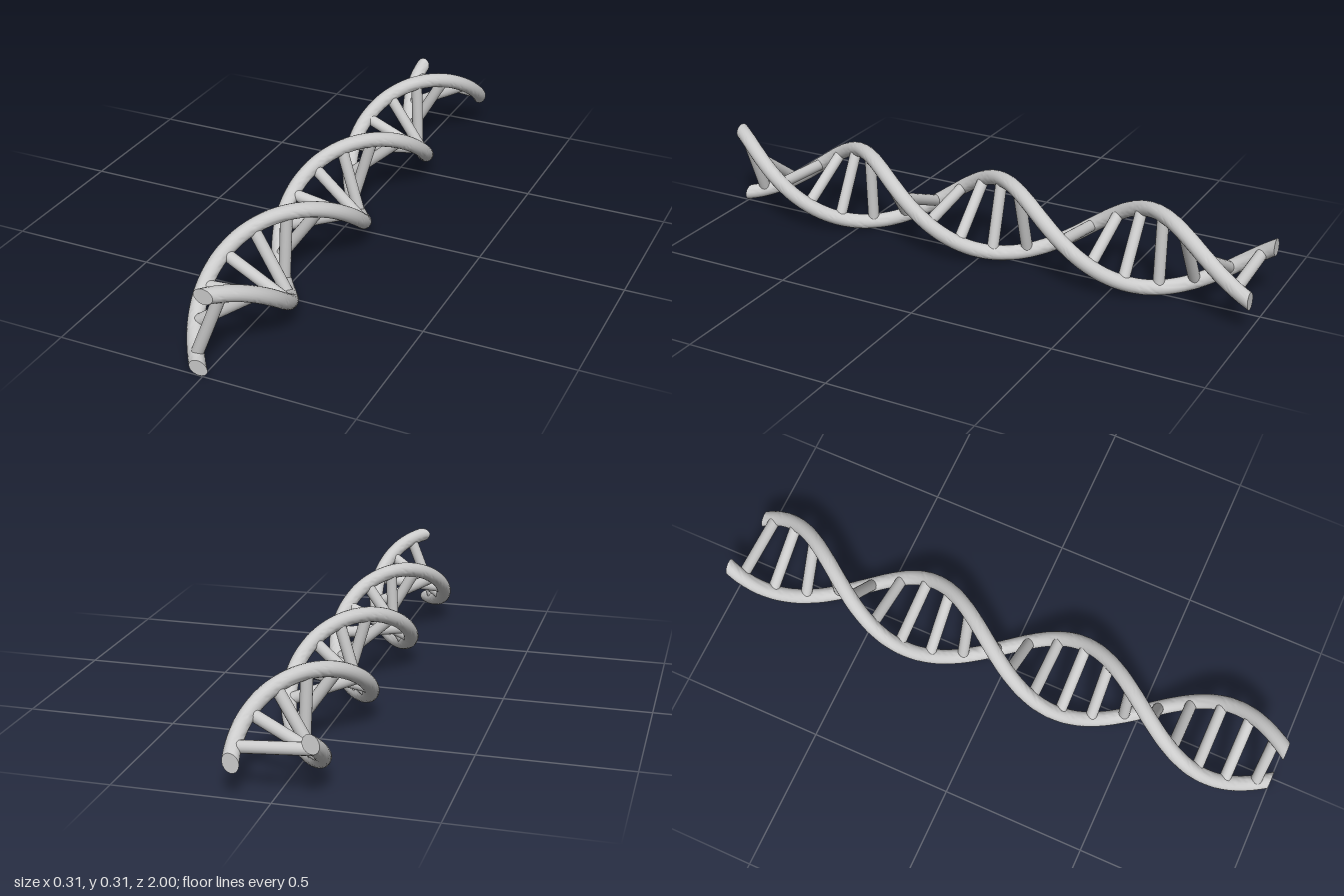
import * as THREE from 'three';
import { mergeVertices, toCreasedNormals } from 'three/addons/utils/BufferGeometryUtils.js';

const RADIUS = 0.128;      // axis to strand centre
const TUBE = 0.026;        // strand thickness
const CENTER_Y = 0.154;
const HALF_TURN = 0.56;    // length of half a twist
const RUNGS = 20;

// Twist angle around z, counted from +x towards +y
const angleAt = (z) => Math.PI / 2 - Math.PI * (1.02 - z) / HALF_TURN;

// A capped cylinder along z, wound into a helix with ends cut square to the axis
function strandGeometry(phase) {
  let geo = new THREE.CylinderGeometry(1, 1, 2, 20, 180).rotateX(Math.PI / 2);
  const slant = Math.hypot(1, RADIUS * Math.PI / HALF_TURN);
  const pos = geo.attributes.position;
  for (let i = 0; i < pos.count; i++) {
    const z = pos.getZ(i);
    const r = RADIUS + TUBE * pos.getX(i);
    const a = angleAt(z) + phase + TUBE * slant * pos.getY(i) / RADIUS;
    pos.setXYZ(i, r * Math.cos(a), r * Math.sin(a), z);
  }
  geo.deleteAttribute('normal');
  geo.deleteAttribute('uv');
  geo = mergeVertices(geo, 1e-5);
  return toCreasedNormals(geo, 0.7);
}

export function createModel() {
  const model = new THREE.Group();
  model.name = 'doubleHelix';
  const material = new THREE.MeshStandardMaterial({ color: 0xcccccc });

  const helix = new THREE.Group();
  helix.position.y = CENTER_Y;
  model.add(helix);

  // Two strands, half a turn apart
  ['firstStrand', 'secondStrand'].forEach((name, i) => {
    const strand = new THREE.Mesh(strandGeometry(i * Math.PI), material);
    strand.name = name;
    helix.add(strand);
  });

  // Rungs joining the strands, turning with them
  const rungGeo = new THREE.CylinderGeometry(0.02, 0.02, RADIUS * 2 - 0.01, 16);
  for (let i = 0; i < RUNGS; i++) {
    const rung = new THREE.Mesh(rungGeo, material);
    rung.name = 'rung' + (i + 1);
    rung.position.z = (i - (RUNGS - 1) / 2) * 0.1003;
    rung.rotation.z = angleAt(rung.position.z) - Math.PI / 2;
    helix.add(rung);
  }
  return model;
}
